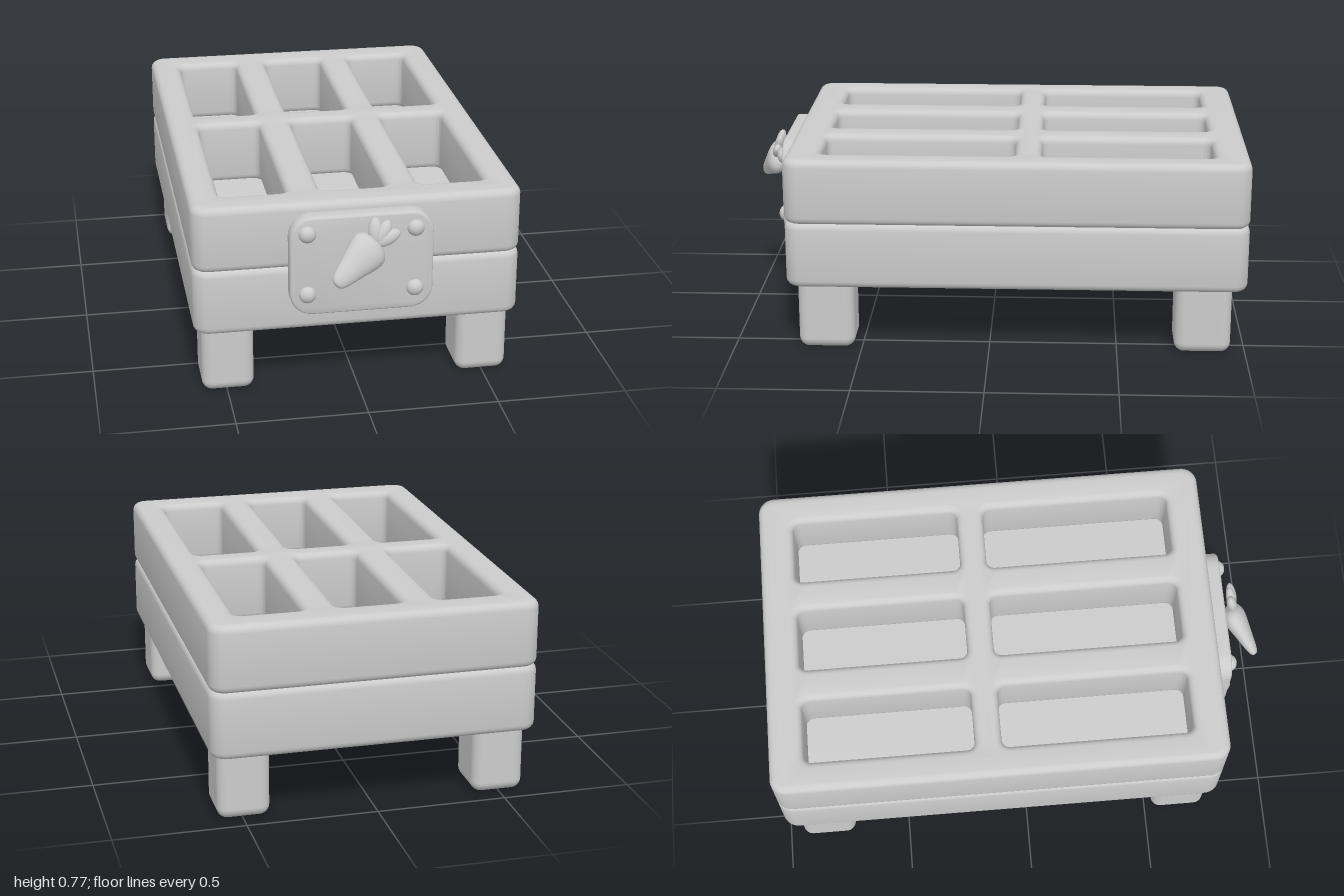
import * as THREE from 'three';
import { toCreasedNormals } from 'three/addons/utils/BufferGeometryUtils.js';
import { RoundedBoxGeometry } from 'three/addons/geometries/RoundedBoxGeometry.js';

const mat = new THREE.MeshStandardMaterial({ color: 0xcccccc });

function add(parent, name, geometry, x = 0, y = 0, z = 0) {
  const mesh = new THREE.Mesh(geometry, mat);
  mesh.name = name;
  mesh.position.set(x, y, z);
  parent.add(mesh);
  return mesh;
}

// Rounded rectangle outline, used for both shapes and holes
function roundedRect(path, x0, y0, x1, y1, r) {
  path.moveTo(x0 + r, y0);
  path.lineTo(x1 - r, y0);
  path.absarc(x1 - r, y0 + r, r, -Math.PI / 2, 0);
  path.lineTo(x1, y1 - r);
  path.absarc(x1 - r, y1 - r, r, 0, Math.PI / 2);
  path.lineTo(x0 + r, y1);
  path.absarc(x0 + r, y1 - r, r, Math.PI / 2, Math.PI);
  path.lineTo(x0, y0 + r);
  path.absarc(x0 + r, y0 + r, r, Math.PI, Math.PI * 1.5);
  return path;
}

// Extrusion with softened edges whose total thickness is `depth`
function softExtrude(shape, depth, bevel) {
  const g = new THREE.ExtrudeGeometry(shape, {
    depth: depth - 2 * bevel, bevelEnabled: true, bevelSize: bevel,
    bevelThickness: bevel, bevelSegments: 4, curveSegments: 6,
  });
  g.translate(0, 0, bevel);
  return toCreasedNormals(g, 0.7);
}

// One horizontal layer of the tray, outline in x and -z
function trayLayer(holes, height) {
  const b = 0.028;
  const shape = roundedRect(new THREE.Shape(), -0.625 + b, -0.79 + b, 0.625 - b, 1 - b, 0.035);
  for (const [x0, z0, x1, z1] of holes) {
    shape.holes.push(roundedRect(new THREE.Path(), x0 - b, -z1 - b, x1 + b, -z0 + b, 0.06));
  }
  return softExtrude(shape, height, b).rotateX(-Math.PI / 2);
}

export function createModel() {
  const model = new THREE.Group();
  model.name = 'plantingTray';

  // Tray: solid lower layer, upper layer with six pockets
  const pockets = [];
  for (const [x0, x1] of [[-0.505, -0.255], [-0.125, 0.125], [0.25, 0.505]]) {
    for (const [z0, z1] of [[-0.865, -0.2], [-0.095, 0.655]]) pockets.push([x0, z0, x1, z1]);
  }
  add(model, 'lowerLayer', trayLayer([], 0.262), 0, 0.262, 0);
  add(model, 'upperLayer', trayLayer(pockets, 0.257), 0, 0.517, 0);

  // Legs
  for (const side of [-1, 1]) {
    for (const [label, z] of [['front', 0.637], ['back', -0.833]]) {
      add(model, label + (side > 0 ? 'LeftLeg' : 'RightLeg'),
        new RoundedBoxGeometry(0.2, 0.32, 0.22, 4, 0.04), side * 0.495, 0.16, z);
    }
  }

  // Sign plate with four rivets
  const sign = new THREE.Group();
  sign.name = 'sign';
  model.add(sign);
  const plate = roundedRect(new THREE.Shape(), -0.258, 0.357, 0.26, 0.728, 0.075);
  add(sign, 'plate', softExtrude(plate, 0.065, 0.012), 0, 0, 0.777);
  for (const x of [-0.205, 0.202]) {
    for (const y of [0.43, 0.674]) {
      add(sign, 'rivet', new THREE.SphereGeometry(0.033, 16, 12), x, y, 0.84).scale.z = 0.85;
    }
  }

  // Carrot root: flattened lathe leaning out from the plate
  const profile = new THREE.SplineCurve([
    [0, 0], [0.022, 0.006], [0.038, 0.035], [0.055, 0.095], [0.074, 0.16],
    [0.074, 0.197], [0.05, 0.222], [0, 0.23],
  ].map(([r, y]) => new THREE.Vector2(r, y))).getPoints(24);
  profile.forEach((p) => { p.x = Math.max(p.x, 0); });
  const root = add(sign, 'carrotRoot', new THREE.LatheGeometry(profile, 24), -0.122, 0.522, 0.97);
  const axis = new THREE.Vector3(0.17, 0.12, -0.1).normalize();
  const across = axis.clone().cross(new THREE.Vector3(0.4, 0.5, 0.9)).normalize();
  const normal = across.clone().cross(axis);
  root.quaternion.setFromRotationMatrix(new THREE.Matrix4().makeBasis(across, axis, normal));
  root.scale.z = 0.6;

  // Three leaves fanning from the top of the root
  const leaves = new THREE.Group();
  leaves.name = 'carrotLeaves';
  leaves.position.set(0.042, 0.638, 0.89);
  leaves.rotation.x = -0.25;
  sign.add(leaves);
  for (const angle of [-0.1, -0.66, -1.22].map((a) => a + 0.1)) {
    const leaf = new THREE.SphereGeometry(1, 16, 12).scale(0.027, 0.052, 0.02).translate(0, 0.05, 0);
    add(leaves, 'leaf', leaf).rotation.z = angle;
  }

  return model;
}
